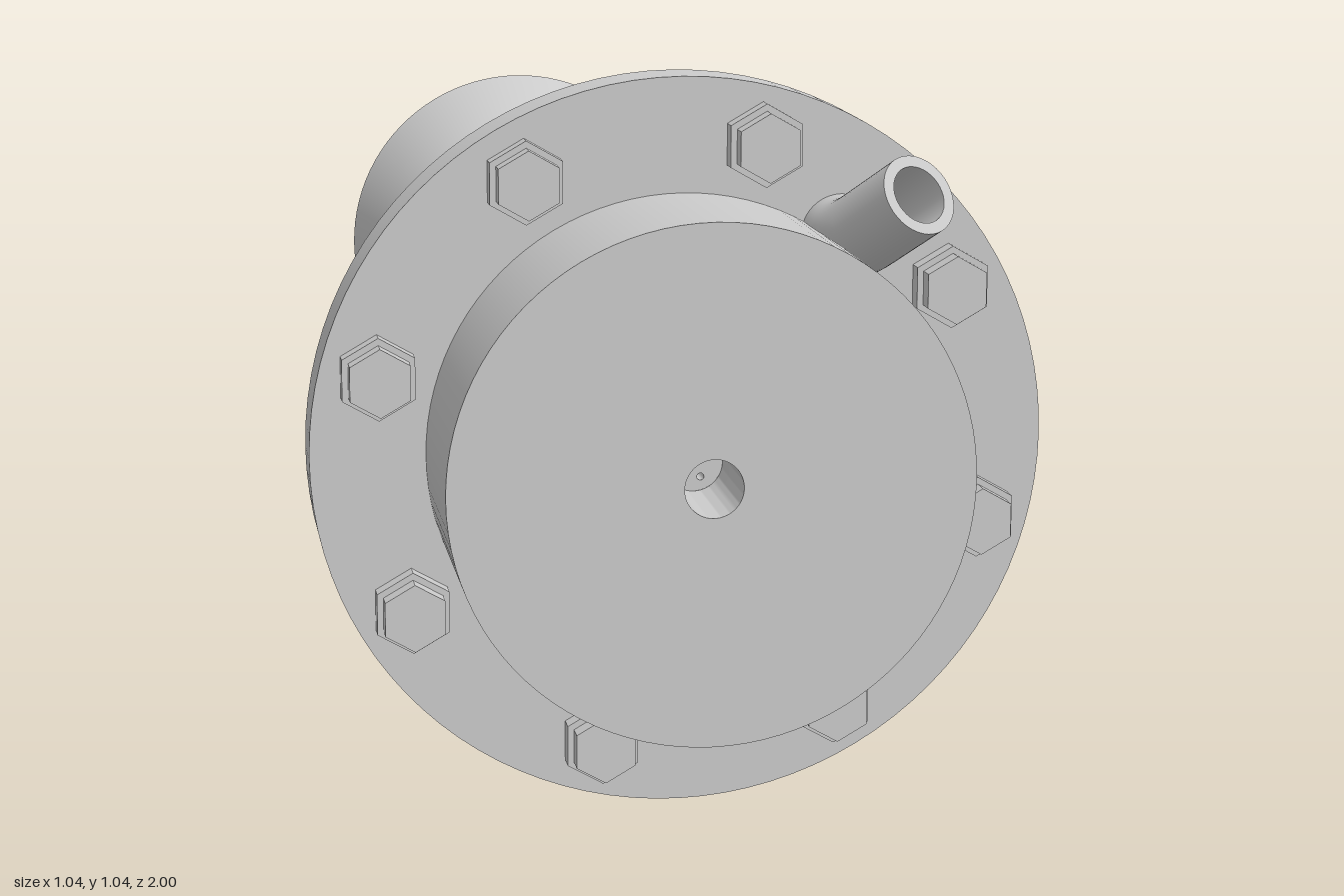
import * as THREE from 'three';
import { toCreasedNormals } from 'three/addons/utils/BufferGeometryUtils.js';

const AXIS_Y = 0.518;
const grey = new THREE.MeshStandardMaterial({ color: 0xcccccc });
const greyThin = new THREE.MeshStandardMaterial({ color: 0xcccccc, side: THREE.DoubleSide });
const V2 = (r, z) => new THREE.Vector2(r, z);
const V3 = (x, y, z) => new THREE.Vector3(x, y, z);

function mesh(name, geometry, material = grey) {
  const m = new THREE.Mesh(geometry, material);
  m.name = name;
  return m;
}

// Turned part about the z axis; the profile holds [radius, z] pairs
function turned(name, profile, segments = 96) {
  const g = new THREE.LatheGeometry(profile.map(([r, z]) => V2(r, z)), segments);
  g.rotateX(Math.PI / 2);
  return mesh(name, toCreasedNormals(g, 0.5));
}

// Smooth run of profile points
function smooth(points, n) {
  return new THREE.SplineCurve(points.map(([r, z]) => V2(r, z))).getPoints(n).map(p => [p.x, p.y]);
}

// Hollow pipe along a curve with a flat annular mouth
function pipe(name, curve, outer, inner) {
  const g = new THREE.Group();
  g.name = name;
  g.add(mesh('pipeWall', new THREE.TubeGeometry(curve, 24, outer, 40), grey));
  g.add(mesh('pipeBore', new THREE.TubeGeometry(curve, 24, inner, 40), greyThin));
  const rim = mesh('pipeMouth', new THREE.RingGeometry(inner, outer, 40), greyThin);
  rim.position.copy(curve.getPoint(1));
  rim.quaternion.setFromUnitVectors(V3(0, 0, 1), curve.getTangent(1));
  g.add(rim);
  return g;
}

// Hexagonal prism between two z values, corner pointing up
function hexPrism(name, radius, z0, z1) {
  const g = new THREE.CylinderGeometry(radius, radius, z1 - z0, 6);
  g.rotateX(Math.PI / 2).translate(0, 0, (z0 + z1) / 2);
  return mesh(name, toCreasedNormals(g, 0.5));
}

export function createModel() {
  const model = new THREE.Group();
  model.name = 'rocketEngine';
  const body = new THREE.Group();
  body.name = 'engineBody';
  body.position.y = AXIS_Y;
  model.add(body);

  // Combustion chamber and nozzle: outer skin forward, then inner skin back
  const bell = smooth([[0.317, -1], [0.258, -0.8], [0.188, -0.605]], 16);
  const shoulder = smooth([[0.18, -0.575], [0.196, -0.53], [0.25, -0.45], [0.308, -0.375], [0.326, -0.31]], 24);
  const innerShoulder = smooth([[0.256, -0.31], [0.238, -0.375], [0.18, -0.45], [0.126, -0.53], [0.11, -0.575]], 24);
  const innerBell = smooth([[0.118, -0.605], [0.188, -0.8], [0.247, -1]], 16);
  body.add(turned('chamberAndNozzle', [
    ...bell, ...shoulder, [0.326, 0.66], [0, 0.66], [0, 0.6], [0.256, 0.6],
    ...innerShoulder, ...innerBell, [0.317, -1],
  ]));

  // Collar, flange and injector head
  body.add(turned('collar', [[0.3, 0.51], [0.345, 0.51], [0.345, 0.67]]));
  body.add(turned('flange', [[0.3, 0.668], [0.518, 0.668], [0.518, 0.749], [0.3, 0.749]]));
  body.add(turned('injectorHead', [[0.357, 0.74], [0.357, 1], [0.04, 1], [0.04, 0.85]]));

  // Floor of the central inlet with three small injector holes
  const floor = new THREE.Shape().absarc(0, 0, 0.04, 0, Math.PI * 2);
  for (const deg of [55, 175, 295]) {
    const a = THREE.MathUtils.degToRad(deg);
    const x = 0.022 * Math.cos(a), y = 0.022 * Math.sin(a);
    floor.holes.push(new THREE.Path().absarc(x, y, 0.005, 0, Math.PI * 2, true));
    const bore = new THREE.CylinderGeometry(0.005, 0.005, 0.06, 12, 1, true);
    bore.rotateX(Math.PI / 2).translate(x, y, 0.82);
    body.add(mesh('injectorHole', bore, greyThin));
  }
  const plate = mesh('inletFloor', new THREE.ShapeGeometry(floor, 24));
  plate.position.z = 0.85;
  body.add(plate);

  // Eight bolts around the flange, with a head in front and a nut behind
  for (let i = 0; i < 8; i++) {
    const a = THREE.MathUtils.degToRad(30 + i * 45);
    const bolt = new THREE.Group();
    bolt.name = 'flangeBolt';
    bolt.position.set(0.438 * Math.cos(a), 0.438 * Math.sin(a), 0);
    bolt.add(
      hexPrism('headBase', 0.058, 0.745, 0.775), hexPrism('boltHead', 0.048, 0.77, 0.802),
      hexPrism('nutBase', 0.058, 0.645, 0.67), hexPrism('nut', 0.048, 0.622, 0.65),
    );
    body.add(bolt);
  }

  // Bent inlet pipe on the head: leaves the flange, then leans outwards
  const radial = (deg, r, z) => {
    const a = THREE.MathUtils.degToRad(deg);
    return V3(r * Math.cos(a), r * Math.sin(a), z);
  };
  const bend = new THREE.CurvePath();
  bend.add(new THREE.LineCurve3(radial(52.5, 0.37, 0.7), radial(52.5, 0.37, 0.765)));
  bend.add(new THREE.QuadraticBezierCurve3(
    radial(52.5, 0.37, 0.765), radial(52.5, 0.37, 0.807), radial(52.5, 0.397, 0.839)));
  bend.add(new THREE.LineCurve3(radial(52.5, 0.397, 0.839), radial(52.5, 0.473, 0.93)));
  body.add(pipe('bentInletPipe', bend, 0.057, 0.041));

  // Straight radial pipe on the collar
  const straight = new THREE.LineCurve3(radial(7.5, 0.3, 0.565), radial(7.5, 0.514, 0.565));
  body.add(pipe('sidePipe', straight, 0.057, 0.041));

  return model;
}
